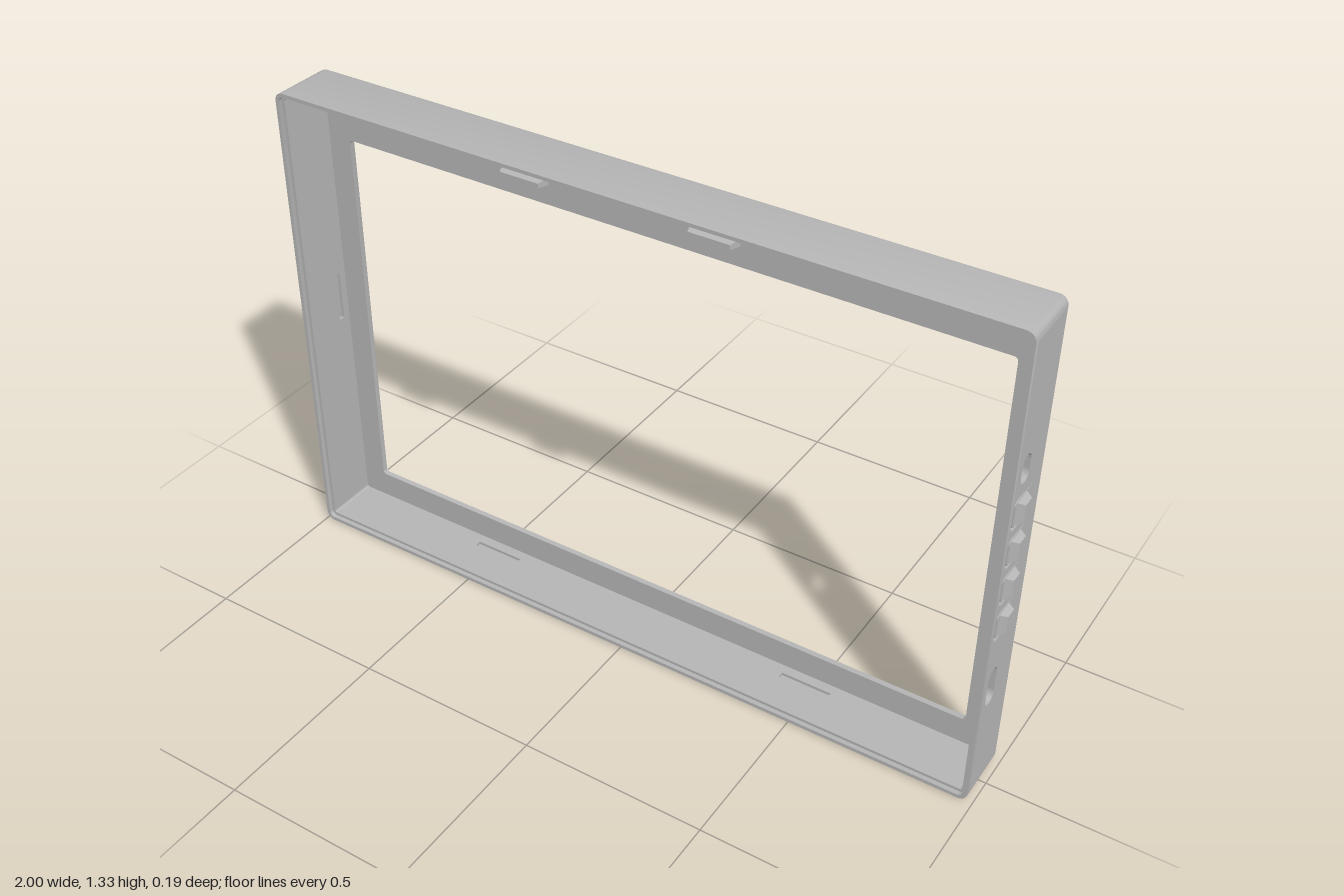
import * as THREE from 'three';
import { toCreasedNormals } from 'three/addons/utils/BufferGeometryUtils.js';

const X0 = -1, X1 = 0.985, Y0 = 0, Y1 = 1.325;   // outer casing
const R = 0.024, WALL = 0.018, SEG = 5;          // corner radius, wall, corner steps
const BACK = -0.092, FLOOR = -0.077, STEP = 0.068, FRONT = 0.08;

// Rounded rectangle loop, counter-clockwise seen from +z
function loop(x0, x1, y0, y1, r, z) {
  const pts = [];
  [[x1 - r, y0 + r], [x1 - r, y1 - r], [x0 + r, y1 - r], [x0 + r, y0 + r]].forEach(([cx, cy], k) => {
    for (let i = 0; i <= SEG; i++) {
      const a = (k - 1 + i / SEG) * Math.PI / 2;
      pts.push([cx + r * Math.cos(a), cy + r * Math.sin(a), z]);
    }
  });
  return pts;
}
const outer = (inset, z) => loop(X0 + inset, X1 - inset, Y0 + inset, Y1 - inset, R - inset, z);
const windowLoop = z => loop(-0.915, 0.9, 0.092, 1.15, 0.01, z);

// Skin between successive loops, closing back to the first; skip(i, j) leaves a panel open
function skin(loops, skip) {
  const pos = [], n = loops[0].length;
  loops.forEach((a, i) => {
    const b = loops[(i + 1) % loops.length];
    for (let j = 0; j < n; j++) {
      if (skip(i, j)) continue;
      const k = (j + 1) % n;
      pos.push(...a[j], ...a[k], ...b[k], ...a[j], ...b[k], ...b[j]);
    }
  });
  const g = new THREE.BufferGeometry();
  g.setAttribute('position', new THREE.Float32BufferAttribute(pos, 3));
  return toCreasedNormals(g, 0.6);
}

function rect(S, u0, u1, v0, v1) {
  return new S([[u0, v0], [u1, v0], [u1, v1], [u0, v1]].map(p => new THREE.Vector2(...p)));
}

// Upright oval hole
function oval(u0, u1, v0, v1) {
  const r = (u1 - u0) / 2, c = (u0 + u1) / 2, p = new THREE.Path();
  p.absarc(c, v1 - r, r, 0, Math.PI);
  p.absarc(c, v0 + r, r, Math.PI, Math.PI * 2);
  p.closePath();
  return p;
}

// U-shaped cut that frees a springy button tongue
function uCut(v) {
  const end = 0.038, left = -0.063, h = 0.042, t = 0.008, r = 0.018, q = Math.PI / 2;
  const p = new THREE.Path();
  p.moveTo(end, v + h);
  p.absarc(left + r, v + h - r, r, q, 2 * q);
  p.absarc(left + r, v - h + r, r, 2 * q, 3 * q);
  p.lineTo(end, v - h);
  p.lineTo(end, v - h + t);
  p.absarc(left + r, v - h + r, r - t, 3 * q, 2 * q, true);
  p.absarc(left + r, v + h - r, r - t, 2 * q, q, true);
  p.lineTo(end, v + h - t);
  p.closePath();
  return p;
}

const slab = (shape, depth) => new THREE.ExtrudeGeometry(shape, { depth, bevelEnabled: false, curveSegments: 6 });

// Box standing on z = 0 whose far end is scaled and shifted
function taperedBox(w, h, d, sx, sy, dx = 0, dy = 0) {
  const g = new THREE.BoxGeometry(w, h, d).toNonIndexed().translate(0, 0, d / 2);
  const p = g.attributes.position;
  for (let i = 0; i < p.count; i++) {
    if (p.getZ(i) > d / 2) p.setXY(i, p.getX(i) * sx + dx, p.getY(i) * sy + dy);
  }
  g.computeVertexNormals();
  return g;
}

export function createModel() {
  const model = new THREE.Group();
  model.name = 'screenBezel';
  const grey = new THREE.MeshStandardMaterial({ color: 0xb4b4b4 });
  grey.name = 'grey plastic';
  const add = (name, geo) => {
    const m = new THREE.Mesh(geo, grey);
    m.name = name;
    model.add(m);
    return m;
  };

  // Casing: window, rounded back edge, outer wall, stepped rim, inner wall, floor
  const loops = [windowLoop(BACK)];
  for (let i = 0; i <= 3; i++) {
    const a = i * Math.PI / 6;
    loops.push(outer(0.01 * (1 - Math.sin(a)), BACK + 0.01 * (1 - Math.cos(a))));
  }
  loops.push(outer(0, STEP), outer(0, FRONT), outer(0.01, FRONT), outer(0.01, STEP),
    outer(WALL, STEP), outer(WALL, FLOOR), windowLoop(FLOOR));
  const leftSide = SEG, rightSide = 3 * SEG + 2, bottomSide = 4 * SEG + 3;
  add('casing', skin(loops, (i, j) =>
    (i === 4 && j === leftSide) || (i === 9 && [leftSide, rightSide, bottomSide].includes(j))));

  // Control wall with port holes and button cuts
  const buttonYs = [0.849, 0.744, 0.639, 0.533];
  const wall = rect(THREE.Shape, -STEP, -BACK - 0.01, Y0 + R, Y1 - R);
  wall.holes.push(oval(-0.046, 0, 0.92, 0.995), oval(-0.053, -0.004, 0.28, 0.39), ...buttonYs.map(uCut));
  add('controlWall', slab(wall, WALL).rotateY(Math.PI / 2).translate(X1 - WALL, 0, 0));

  // Buttons on the tongues
  for (const y of buttonYs) {
    add('button', taperedBox(0.053, 0.064, 0.016, 0.6, 0.7, 0.005)
      .rotateY(Math.PI / 2).translate(X1 - 0.001, y, -0.0195 + 0.039));
  }

  // Inner wall panels with shallow catch grooves
  const G = 0.008;
  const side = rect(THREE.Shape, -STEP, -FLOOR, Y0 + R, Y1 - R);
  side.holes.push(rect(THREE.Path, 0.038, 0.056, 0.61, 0.75));
  add('sidePanel', slab(side, G).rotateY(Math.PI / 2).translate(X0 + WALL - G, 0, 0));
  add('sideGrooveBase', new THREE.PlaneGeometry(0.03, 0.16).rotateY(Math.PI / 2)
    .translate(X0 + WALL - G, 0.68, -0.047));

  const bottom = rect(THREE.Shape, X0 + R, X1 - R, -STEP, -FLOOR);
  for (const x of [-0.486, 0.48]) {
    bottom.holes.push(rect(THREE.Path, x - 0.07, x + 0.07, 0.032, 0.05));
    add('bottomGrooveBase', new THREE.PlaneGeometry(0.16, 0.03).rotateX(-Math.PI / 2)
      .translate(x, WALL - G, -0.041));
  }
  add('bottomPanel', slab(bottom, G).rotateX(-Math.PI / 2).translate(0, WALL - G, 0));

  // Hook tabs on the top rim
  for (const x of [-0.257, 0.243]) {
    add('hookTab', taperedBox(0.125, 0.02, 0.028, 0.85, 0.6, 0, -0.003).translate(x, 1.309, 0.066));
  }
  return model;
}
